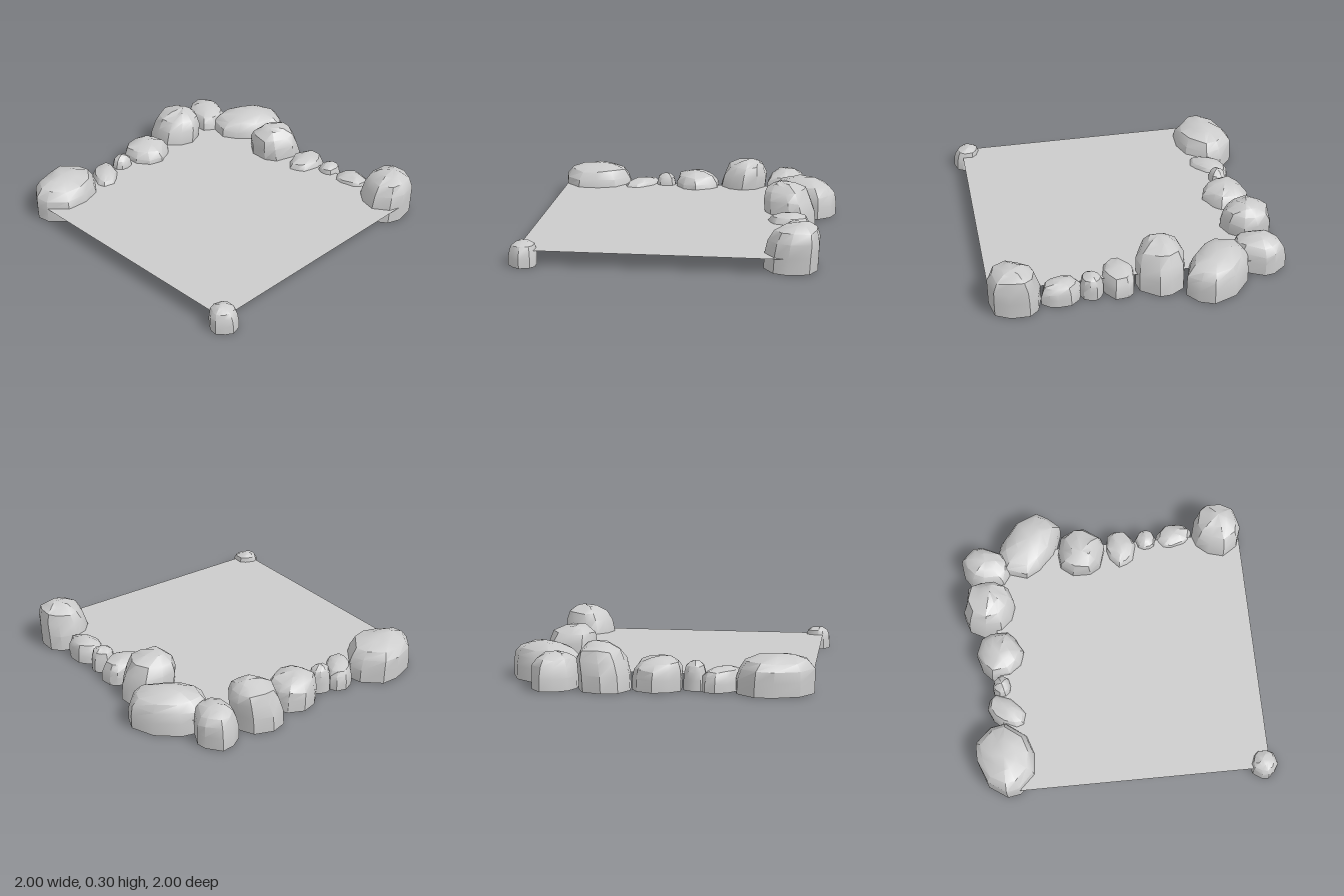
import * as THREE from 'three';
import { toCreasedNormals } from 'three/addons/utils/BufferGeometryUtils.js';

const SIDES = 10;
// Rock profile: [height share, outline scale]
const PROFILE = [[0, 1], [0.35, 1], [0.62, 0.94], [0.83, 0.78], [0.95, 0.42]];

function seeded(seed) {
  let s = seed * 7919 + 17;
  return () => (s = (s * 16807) % 2147483647) / 2147483647;
}

// Open-bottomed boulder: tapering oval rings closed by an off-centre peak
function rockGeometry(rx, rz, h, peakX, peakZ, seed) {
  const random = seeded(seed);
  for (let i = 0; i < 5; i++) random();
  const columns = Array.from({ length: SIDES }, (_, j) => ({
    angle: ((j + 0.45 * (random() - 0.5)) / SIDES) * Math.PI * 2,
    radius: 0.96 + 0.12 * random(),
  }));
  const positions = [], index = [];
  PROFILE.forEach(([level, scale], i) => {
    const lean = level * level;
    for (const { angle, radius } of columns) {
      const wobble = i < 2 ? 1 : 1 + 0.12 * (random() - 0.5);
      const lift = i < 2 ? 0 : 0.07 * (random() - 0.5);
      const r = radius * scale * wobble;
      positions.push(
        Math.cos(angle) * rx * r + peakX * lean * 0.7,
        h * (level + lift),
        Math.sin(angle) * rz * r + peakZ * lean * 0.7,
      );
    }
  });
  const peak = positions.length / 3;
  positions.push(peakX, h, peakZ);
  for (let j = 0; j < SIDES; j++) {
    const k = (j + 1) % SIDES;
    for (let i = 0; i < PROFILE.length - 1; i++) {
      const a = i * SIDES + j, b = i * SIDES + k;
      index.push(a, a + SIDES, b, b, a + SIDES, b + SIDES);
    }
    const top = (PROFILE.length - 1) * SIDES;
    index.push(top + j, peak, top + k);
  }
  const geometry = new THREE.BufferGeometry();
  geometry.setAttribute('position', new THREE.Float32BufferAttribute(positions, 3));
  geometry.setIndex(index);
  return toCreasedNormals(geometry, 0.6);
}

export function createModel() {
  const group = new THREE.Group();
  const material = new THREE.MeshStandardMaterial({ color: 0xcccccc, side: THREE.DoubleSide });

  // Flat ground sheet, held partway up the rocks
  const x0 = -0.78, x1 = 0.94, z0 = -0.75, z1 = 0.94;
  const ground = new THREE.Mesh(new THREE.PlaneGeometry(x1 - x0, z1 - z0).rotateX(-Math.PI / 2), material);
  ground.position.set((x0 + x1) / 2, 0.1, (z0 + z1) / 2);
  ground.name = 'groundSheet';
  group.add(ground);

  // Each rock: name, centre x, centre z, half width, half depth, turn about y, height, peak offset x, z
  const rocks = [
    ['rightFrontBoulder', -0.78, 0.705, 0.19, 0.245, 0.12, 0.245, -0.01, 0.03],
    ['rightSlantedRock', -0.75, 0.39, 0.155, 0.09, -0.75, 0.15, 0, 0],
    ['rightPebble', -0.77, 0.22, 0.06, 0.075, 0, 0.185, 0, 0],
    ['rightMiddleRock', -0.77, -0.015, 0.15, 0.16, 0, 0.21, 0, 0.03],
    ['rightTallRock', -0.82, -0.33, 0.17, 0.165, 0, 0.3, 0.02, -0.07],
    ['backRightLowRock', -0.82, -0.645, 0.18, 0.135, -0.45, 0.23, 0, 0],
    ['backRightBoulder', -0.52, -0.77, 0.255, 0.18, 0.85, 0.245, 0.02, 0],
    ['backTallRock', -0.16, -0.7, 0.165, 0.17, 0, 0.3, 0, 0.07],
    ['backMiddleRock', 0.115, -0.71, 0.103, 0.142, 0, 0.16, 0, 0],
    ['backPebble', 0.295, -0.755, 0.075, 0.08, 0, 0.155, 0, 0],
    ['backLowRock', 0.49, -0.77, 0.13, 0.093, 0.2, 0.145, 0, 0],
    ['backLeftTallRock', 0.78, -0.755, 0.165, 0.165, 0, 0.3, 0.02, -0.06],
    ['frontLeftRock', 0.907, 0.898, 0.088, 0.088, 0, 0.155, -0.02, 0],
  ];
  rocks.forEach(([name, x, z, rx, rz, turn, h, peakX, peakZ], i) => {
    const rock = new THREE.Mesh(rockGeometry(rx, rz, h, peakX, peakZ, i + 1), material);
    rock.position.set(x, 0, z);
    rock.rotation.y = turn;
    rock.name = name;
    group.add(rock);
  });
  return group;
}
